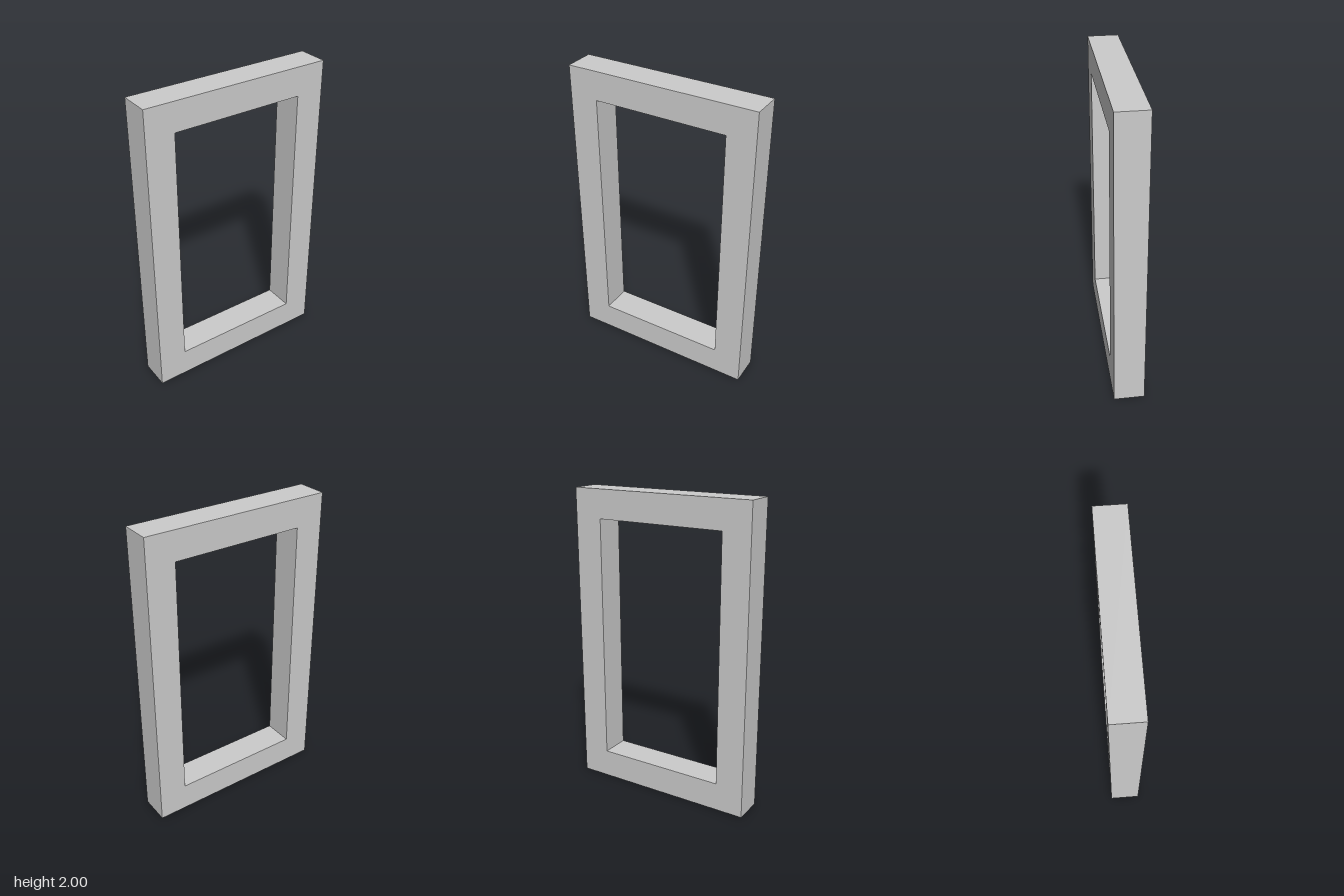
import * as THREE from 'three';

const WIDTH = 1.245, HEIGHT = 2, DEPTH = 0.198, BORDER = 0.187;

// Corners of an upright rectangle standing `inset` inside the outer edge
function rectangle(inset) {
  const x = WIDTH / 2 - inset;
  const top = HEIGHT - inset;
  return [[-x, inset], [x, inset], [x, top], [-x, top]].map(([px, py]) => new THREE.Vector2(px, py));
}

export function createModel() {
  const group = new THREE.Group();
  group.name = 'rectangularFrame';

  // Solid frame with a rectangular opening
  const outline = new THREE.Shape(rectangle(0));
  outline.holes.push(new THREE.Path(rectangle(BORDER).reverse()));
  const geometry = new THREE.ExtrudeGeometry(outline, { depth: DEPTH, bevelEnabled: false });
  geometry.translate(0, 0, -DEPTH / 2);

  const frame = new THREE.Mesh(geometry, new THREE.MeshStandardMaterial({ color: 0xcccccc }));
  frame.name = 'frame';
  group.add(frame);
  return group;
}
